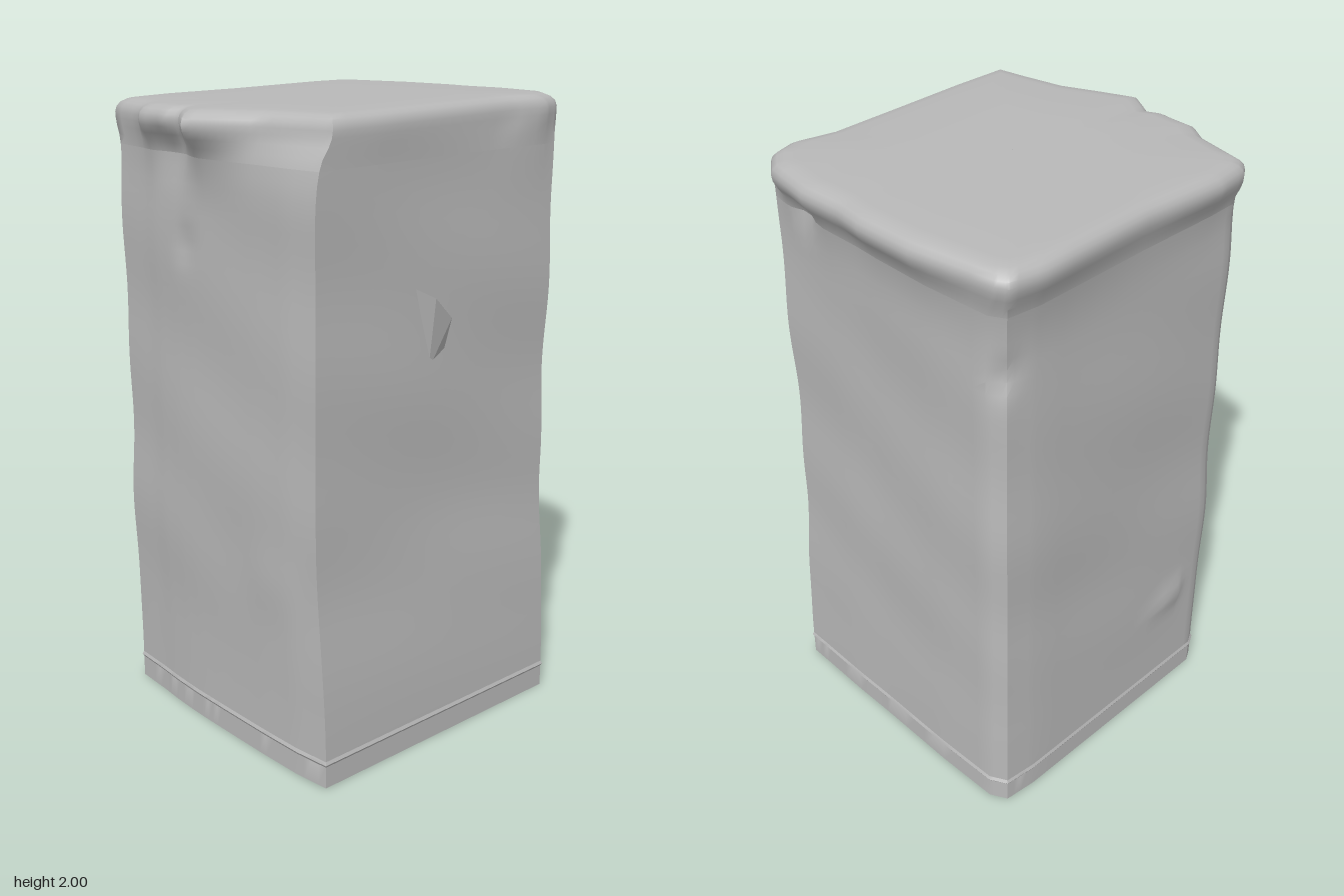
import * as THREE from 'three';
import { toCreasedNormals } from 'three/addons/utils/BufferGeometryUtils.js';
import { ConvexGeometry } from 'three/addons/geometries/ConvexGeometry.js';

// Plan outline, counterclockwise from the front right corner: [body x, body z, lid x, lid z]
const OUTLINE = [
  [0.52, 0.5, 0.495, 0.45], [0.52, 0.25, 0.497, 0.25], [0.52, 0, 0.49, 0],
  [0.52, -0.25, 0.483, -0.3], [0.52, -0.45, 0.51, -0.43], [0.52, -0.5, 0.49, -0.5],
  [0.42, -0.505, 0.42, -0.555], [0.25, -0.515, 0.25, -0.588], [0.1, -0.52, 0.1, -0.585],
  [0, -0.525, 0, -0.6], [-0.2, -0.535, -0.2, -0.6], [-0.42, -0.538, -0.48, -0.56],
  [-0.475, -0.51, -0.515, -0.54], [-0.487, -0.4, -0.535, -0.42], [-0.487, 0, -0.52, 0],
  [-0.487, 0.3, -0.54, 0.3], [-0.487, 0.41, -0.525, 0.42], [-0.465, 0.45, -0.5, 0.457],
  [-0.32, 0.465, -0.32, 0.5], [-0.25, 0.475, -0.25, 0.55], [-0.15, 0.485, -0.13, 0.56],
  [-0.08, 0.49, -0.08, 0.535], [0.02, 0.495, 0.02, 0.597], [0.13, 0.5, 0.13, 0.55],
  [0.25, 0.505, 0.25, 0.495], [0.4, 0.508, 0.4, 0.465],
];
const SUB = 4;
const COUNT = OUTLINE.length * SUB;

// Dents and bulges: centre, radius, push
const DENTS = [
  { at: [-0.487, 0.4, 0.27], r: 0.045, push: [-0.03, 0, 0] },
  { at: [0.34, 1.85, -0.52], r: 0.05, push: [0, 0, 0.025] },
  { at: [-0.1, 1.57, 0.49], r: 0.05, push: [0, 0, -0.012] },
  { at: [-0.15, 1.86, 0.5], r: 0.09, push: [0, 0, -0.03] },
  { at: [-0.48, 1.64, -0.52], r: 0.05, push: [0.015, 0, 0.015] },
  { at: [0.3, 0.6, 0.5], r: 0.12, push: [0, 0, 0.01] },
];

function outlineAt(i) {
  const a = OUTLINE[Math.floor(i / SUB)];
  const b = OUTLINE[(Math.floor(i / SUB) + 1) % OUTLINE.length];
  return a.map((v, k) => THREE.MathUtils.lerp(v, b[k], (i % SUB) / SUB));
}

// level: y, lip = blend towards the lid outline, scale = shrink towards the centre
function ringPoint(i, { y, lip = 0, scale = 1, grow = 0 }) {
  const [bx, bz, lx, lz] = outlineAt(i);
  const s = THREE.MathUtils.smoothstep(y, 0.08, 0.8);
  let x = bx - 0.028 * s * (bx + 0.5);
  let z = bz + 0.012 * s * (bz < 0 ? bx + 0.5 : 1);
  // Gentle crumpling of the walls
  const angle = Math.atan2(z, x);
  const wave = 1 + s * (1 - lip) * (0.006 * Math.sin(6 * y + 2 * angle) + 0.005 * Math.sin(13 * y - 3 * angle));
  x = THREE.MathUtils.lerp(x * wave, lx, lip) * scale * (1 + grow);
  z = THREE.MathUtils.lerp(z * wave, lz, lip) * scale * (1 + grow);
  // Slightly tilted lid
  const tilt = THREE.MathUtils.smoothstep(y, 1.75, 1.95);
  const p = new THREE.Vector3(x, y + tilt * (0.009 * x - 0.014 * z), z);
  for (const d of DENTS) {
    const dist = p.distanceTo(new THREE.Vector3(...d.at));
    p.addScaledVector(new THREE.Vector3(...d.push), Math.exp(-((dist / d.r) ** 2)));
  }
  return p;
}

function loft(levels, crease) {
  const positions = [], index = [];
  levels.forEach((level, j) => {
    for (let i = 0; i < COUNT; i++) {
      positions.push(...ringPoint(i, level).toArray());
      if (j === 0) continue;
      const n = (i + 1) % COUNT, low = (j - 1) * COUNT, high = j * COUNT;
      index.push(low + i, low + n, high + n, low + i, high + n, high + i);
    }
  });
  const geometry = new THREE.BufferGeometry();
  geometry.setAttribute('position', new THREE.Float32BufferAttribute(positions, 3));
  geometry.setIndex(index);
  return toCreasedNormals(geometry, crease);
}

export function createModel() {
  const group = new THREE.Group();
  const grey = new THREE.MeshStandardMaterial({ color: 0xb8b8b8, side: THREE.DoubleSide });
  grey.name = 'grey';
  const add = (name, geometry) => {
    const mesh = new THREE.Mesh(geometry, grey);
    mesh.name = name;
    group.add(mesh);
  };

  // Plain band at the foot with a thin ridge, open underneath
  add('baseBand', loft([
    { y: 0 }, { y: 0.07 }, { y: 0.078, grow: 0.009 }, { y: 0.088 },
  ], 0.5));

  // Hollow battered walls
  const walls = [];
  for (let k = 0; k <= 42; k++) walls.push({ y: 0.088 + (1.7 - 0.088) * k / 42 });
  walls.push({ y: 1.75, lip: 0.04 }, { y: 1.8, lip: 0.12 }, { y: 1.84, lip: 0.25 });
  add('walls', loft(walls, 0.7));

  // Overhanging lid with a softened rim
  add('lid', loft([
    { y: 1.84, lip: 0.25 }, { y: 1.87, lip: 0.42 }, { y: 1.9, lip: 0.75 }, { y: 1.925, lip: 0.95 },
    { y: 1.945, lip: 1 }, { y: 1.962, lip: 1, scale: 0.992 }, { y: 1.975, lip: 1, scale: 0.972 },
    { y: 1.984, lip: 1, scale: 0.94 }, { y: 1.988, lip: 1, scale: 0.88 },
    { y: 1.988, lip: 1, scale: 0.5 }, { y: 1.988, lip: 1, scale: 0.001 },
  ], 0.9));

  // Torn flap standing out of the right wall
  add('tornFlap', new ConvexGeometry([
    [0.535, 1.44, 0.075], [0.53, 1.37, 0], [0.485, 1.47, 0.12],
    [0.485, 1.21, 0.05], [0.485, 1.25, -0.012], [0.485, 1.39, -0.015],
  ].map((p) => new THREE.Vector3(...p))));

  return group;
}
